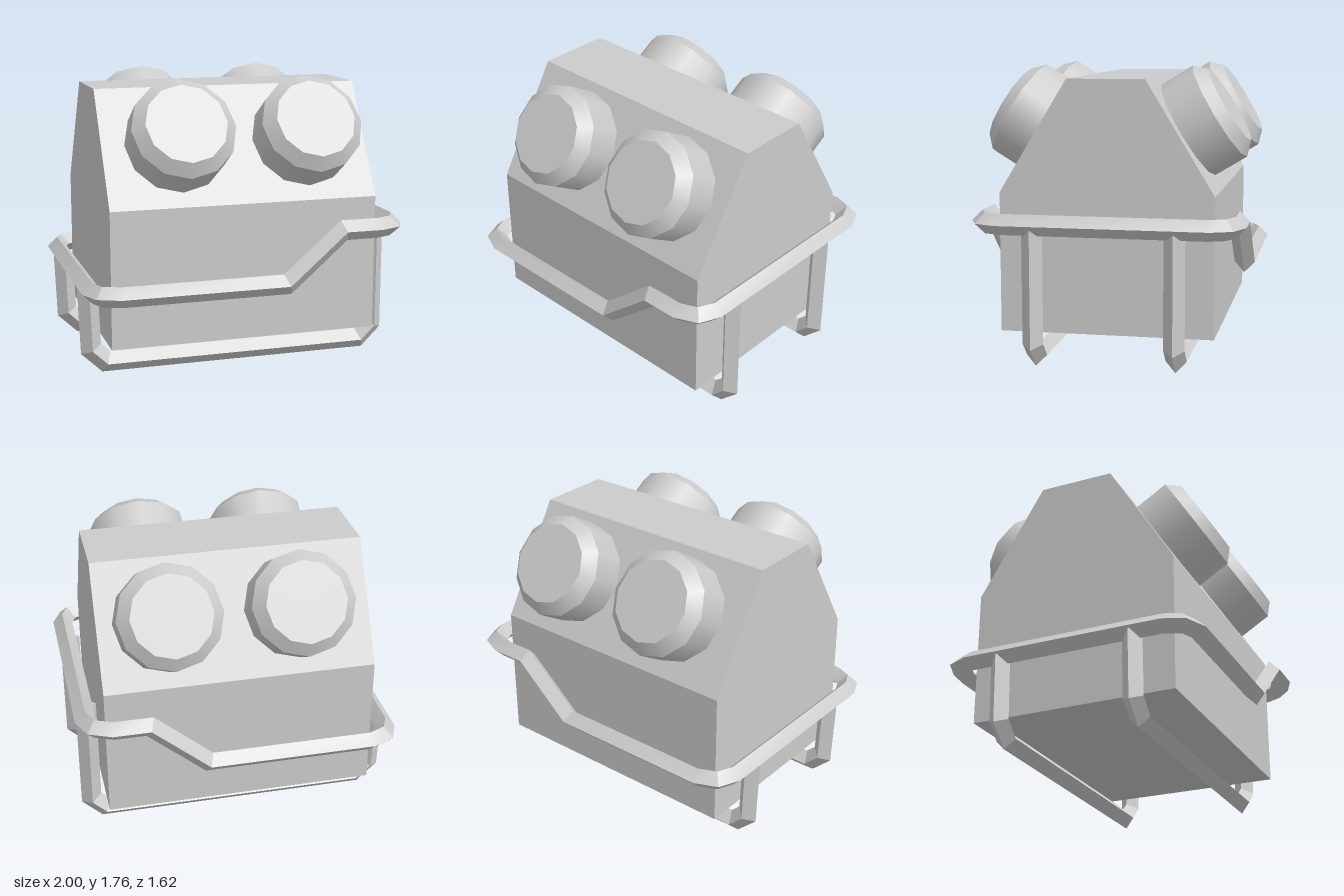
import * as THREE from 'three';
import { toCreasedNormals } from 'three/addons/utils/BufferGeometryUtils.js';

const material = new THREE.MeshStandardMaterial({ color: 0xcccccc });

function add(parent, geometry, name) {
  const mesh = new THREE.Mesh(geometry, material);
  mesh.name = name;
  parent.add(mesh);
  return mesh;
}

// Sweeps a diamond section along straight segments with mitred joints.
// "up" fixes how the diamond is turned around the path.
function sweepBar(points, radius, up, closed) {
  const n = points.length;
  const pts = points.map((p) => new THREE.Vector3(...p));
  const segments = closed ? n : n - 1;
  const dirs = [];
  for (let i = 0; i < segments; i++) dirs.push(pts[(i + 1) % n].clone().sub(pts[i]).normalize());
  const positions = [];
  pts.forEach((p, i) => {
    const next = dirs[Math.min(i, segments - 1)];
    const prev = closed ? dirs[(i + n - 1) % n] : dirs[Math.max(i - 1, 0)];
    const mitre = prev.clone().add(next).normalize();
    const side = next.clone().cross(up).normalize();
    const top = side.clone().cross(next);
    for (const [s, t] of [[1, 0], [0, 1], [-1, 0], [0, -1]]) {
      const o = side.clone().multiplyScalar(s * radius).addScaledVector(top, t * radius);
      o.addScaledVector(next, -o.dot(mitre) / next.dot(mitre)).add(p);
      positions.push(o.x, o.y, o.z);
    }
  });
  const index = [];
  for (let i = 0; i < segments; i++) {
    for (let k = 0; k < 4; k++) {
      const a = i * 4 + k, b = i * 4 + (k + 1) % 4;
      const d = ((i + 1) % n) * 4 + k, c = ((i + 1) % n) * 4 + (k + 1) % 4;
      index.push(a, d, c, a, c, b);
    }
  }
  if (!closed) {
    const e = (n - 1) * 4;
    index.push(0, 1, 2, 0, 2, 3, e, e + 2, e + 1, e, e + 3, e + 2);
  }
  const geometry = new THREE.BufferGeometry();
  geometry.setAttribute('position', new THREE.Float32BufferAttribute(positions, 3));
  geometry.setIndex(index);
  return toCreasedNormals(geometry, 0.4);
}

export function createModel() {
  const group = new THREE.Group();

  // Body: box with a sloped roof, extruded across the width
  const profile = new THREE.Shape([
    [-0.635, 0.2], [0.635, 0.2], [0.635, 1.03], [0.23, 1.695], [-0.23, 1.695], [-0.635, 1.03],
  ].map((p) => new THREE.Vector2(...p)));
  const body = new THREE.ExtrudeGeometry(profile, { depth: 1.655, bevelEnabled: false });
  body.rotateY(-Math.PI / 2).translate(0.825, 0, 0);
  add(group, body, 'body');

  // Round lamps: a drum with a bevelled rim, two on each roof slope
  const drum = new THREE.CylinderGeometry(0.315, 0.315, 0.25, 12, 1, true).translate(0, -0.125, 0);
  const rim = new THREE.CylinderGeometry(0.245, 0.315, 0.07, 12, 1, true).translate(0, 0.035, 0);
  const face = new THREE.CircleGeometry(0.245, 12).rotateX(-Math.PI / 2).translate(0, 0.07, 0);
  const slope = Math.atan2(0.854, 0.52);
  for (const z of [1, -1]) {
    for (const x of [-0.377, 0.415]) {
      const lamp = new THREE.Group();
      lamp.name = (z > 0 ? 'front' : 'back') + (x > 0 ? 'Left' : 'Right') + 'Lamp';
      add(lamp, drum, 'drum');
      add(lamp, rim, 'rim');
      add(lamp, face, 'face');
      lamp.position.set(x, 1.493, z * 0.61);
      lamp.rotation.x = z * slope;
      group.add(lamp);
    }
  }

  // Guard rail: stepped front and back, chamfered corners
  const half = [
    [-0.937, 0.55, 0.61], [-0.895, 0.55, 0.705], [-0.79, 0.55, 0.75],
    [0.22, 0.55, 0.75], [0.575, 0.857, 0.75],
    [0.79, 0.857, 0.75], [0.895, 0.857, 0.705], [0.937, 0.857, 0.61],
  ];
  const loop = [...half, ...half.map(([x, y, z]) => [x, y, -z]).reverse()];
  add(group, sweepBar(loop, 0.062, new THREE.Vector3(0, 1, 0), true), 'guardRail');

  // Skids: U-shaped bars hanging from the rail under the body
  const skid = sweepBar([
    [-0.93, 0.54, 0], [-0.915, 0.15, 0], [-0.823, 0.0625, 0],
    [0.823, 0.0625, 0], [0.912, 0.15, 0], [0.912, 0.845, 0],
  ], 0.0625, new THREE.Vector3(0, 0, 1), false);
  add(group, skid, 'frontSkid').position.z = 0.42;
  add(group, skid, 'backSkid').position.z = -0.415;

  return group;
}
